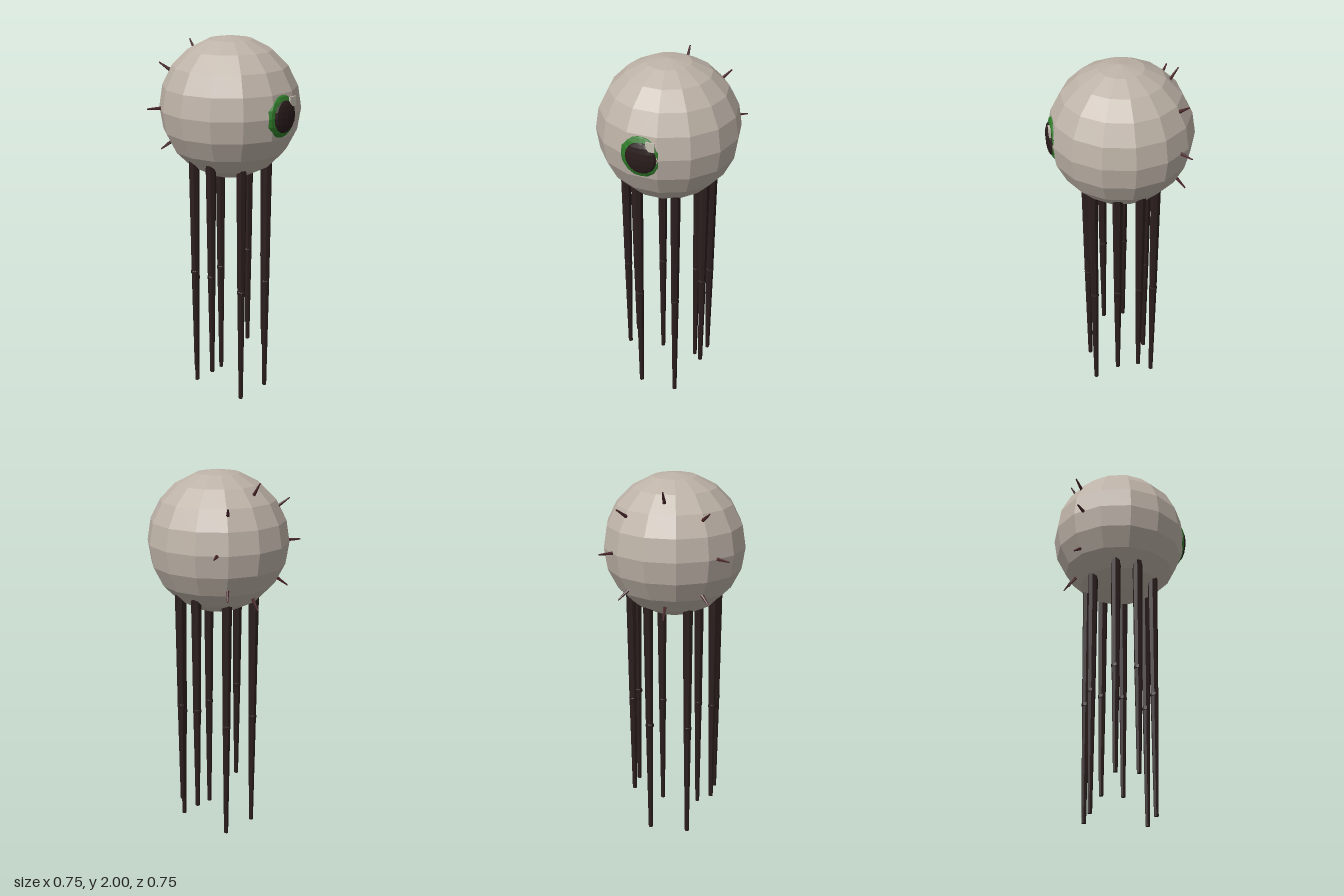
import * as THREE from 'three';

const mat = (name, color, flatShading = true) => {
  const m = new THREE.MeshStandardMaterial({ color, flatShading });
  m.name = name;
  return m;
};

export function createModel() {
  const group = new THREE.Group();
  const stone = mat('paleStone', 0xbdb2a7);
  const legMat = mat('darkBrown', 0x2c1e1e);
  const spikeMat = mat('darkRed', 0x4a262a);
  const green = mat('irisGreen', 0x2f7a2a);
  const black = mat('pupilDark', 0x2a1c1c);
  const pale = mat('highlight', 0xc6c0b2);

  const CY = 1.628, CZ = -0.01, R = 0.373;
  const add = (parent, name, geo, material, x = 0, y = 0, z = 0) => {
    const m = new THREE.Mesh(geo, material);
    m.name = name;
    m.position.set(x, y, z);
    parent.add(m);
    return m;
  };

  // Round faceted body
  add(group, 'body', new THREE.SphereGeometry(R, 14, 10), stone, 0, CY, CZ);

  // Eye: flattened iris and pupil with a small square glint
  const eye = new THREE.Group();
  eye.name = 'eye';
  eye.position.set(0, CY, 0);
  group.add(eye);
  const dome = (r, depth) => new THREE.SphereGeometry(r, 12, 8).scale(1, 1, depth / r);
  add(eye, 'iris', dome(0.11, 0.03), green, -0.005, 0, 0.335);
  add(eye, 'pupil', dome(0.084, 0.022), black, 0, 0, 0.353);
  add(eye, 'glint', new THREE.BoxGeometry(0.045, 0.048, 0.009), pale, 0.054, 0.072, 0.36);

  // Ring of eight spikes around the back
  const up = new THREE.Vector3(0, 1, 0);
  const spikeGeo = new THREE.CylinderGeometry(0.0035, 0.012, 0.1, 6);
  for (let i = 0; i < 8; i++) {
    const a = (i * Math.PI) / 4;
    const c = Math.cos(a), s = Math.sin(a);
    const spike = add(group, 'spike', spikeGeo, spikeMat, c * 0.287, CY + s * 0.287, -0.268);
    spike.quaternion.setFromUnitVectors(up, new THREE.Vector3(c * 0.83, s * 0.83, -0.55).normalize());
  }

  // Eight long two-part legs: x, z, foot height, joint height
  const legs = [
    [0.105, 0.16, 0.005, 0.65], [0.222, 0.052, 0.185, 0.75],
    [0.222, -0.067, 0.185, 0.75], [0.105, -0.173, 0.005, 0.65],
  ];
  for (const side of [1, -1]) {
    for (const [x, z, foot, joint] of legs) {
      const leg = new THREE.Group();
      leg.name = 'leg';
      leg.position.set(side * x, 0, z);
      group.add(leg);
      const top = 1.4;
      const tube = (name, r1, r0, y1, y0) =>
        add(leg, name, new THREE.CylinderGeometry(r1, r0, y1 - y0, 7), legMat, 0, (y1 + y0) / 2, 0);
      tube('upperLeg', 0.028, 0.021, top, joint);
      tube('lowerLeg', 0.021, 0.012, joint, foot);
      add(leg, 'knee', new THREE.SphereGeometry(0.024, 7, 5), legMat, 0, joint, 0);
    }
  }
  // Rest the feet on the ground
  group.children.forEach((o) => { if (o.name === 'leg') o.position.y -= 0.005; });
  return group;
}
